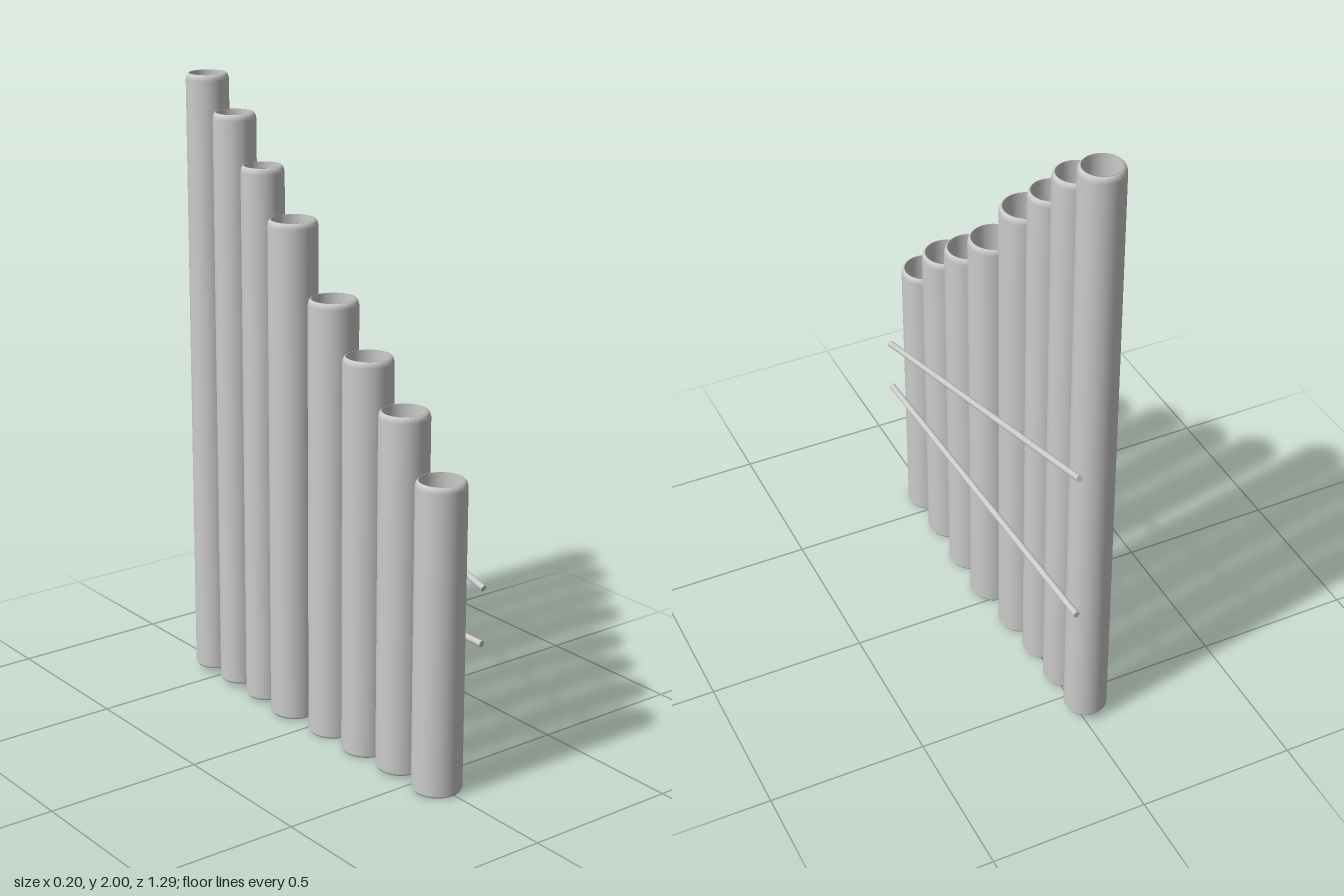
import * as THREE from 'three';

const material = new THREE.MeshStandardMaterial({ color: 0xcccccc, side: THREE.DoubleSide });

// Hollow tube open at both ends, with softened rims; each band keeps its own normals
function pipeGeometry(radius, bottom, top) {
  const wall = 0.011, bevel = 0.008, inner = radius - wall;
  const profile = [
    [inner, bottom], [radius - 0.005, bottom], [radius, bottom + bevel],
    [radius, top - 0.018], [radius - 0.003, top - 0.006], [radius - 0.008, top],
    [inner, top], [inner, bottom],
  ].map(([r, y]) => new THREE.Vector2(r, y));
  return new THREE.LatheGeometry(profile, 48);
}

// Straight round rod between two points
function rodMesh(name, from, to, radius) {
  const a = new THREE.Vector3(...from), b = new THREE.Vector3(...to);
  const dir = b.clone().sub(a);
  const mesh = new THREE.Mesh(new THREE.CylinderGeometry(radius, radius, dir.length(), 16), material);
  mesh.position.copy(a).add(b).multiplyScalar(0.5);
  mesh.quaternion.setFromUnitVectors(new THREE.Vector3(0, 1, 0), dir.normalize());
  mesh.name = name;
  return mesh;
}

export function createModel() {
  const model = new THREE.Group();
  model.name = 'panpipes';

  // Pipes from shortest (front) to tallest (back): x, z, radius, bottom, top
  const pipes = [
    [-0.009, 0.565, 0.077, 0.004, 0.975],
    [-0.009, 0.395, 0.077, 0.010, 1.140],
    [-0.009, 0.225, 0.077, 0.003, 1.265],
    [-0.009, 0.056, 0.077, 0.003, 1.404],
    [-0.026, -0.122, 0.077, 0.008, 1.615],
    [-0.028, -0.273, 0.067, 0.014, 1.755],
    [-0.028, -0.418, 0.067, 0.020, 1.897],
    [-0.028, -0.562, 0.067, 0.024, 2.000],
  ];
  pipes.forEach(([x, z, radius, bottom, top], i) => {
    const pipe = new THREE.Mesh(pipeGeometry(radius, bottom, top), material);
    pipe.position.set(x, 0, z);
    pipe.name = `pipe${i + 1}`;
    model.add(pipe);
  });

  // Binding rods along the left side
  model.add(rodMesh('upperRod', [0.089, 0.644, 0.645], [0.056, 1.025, -0.641], 0.01));
  model.add(rodMesh('lowerRod', [0.089, 0.468, 0.642], [0.056, 0.502, -0.646], 0.01));
  return model;
}
